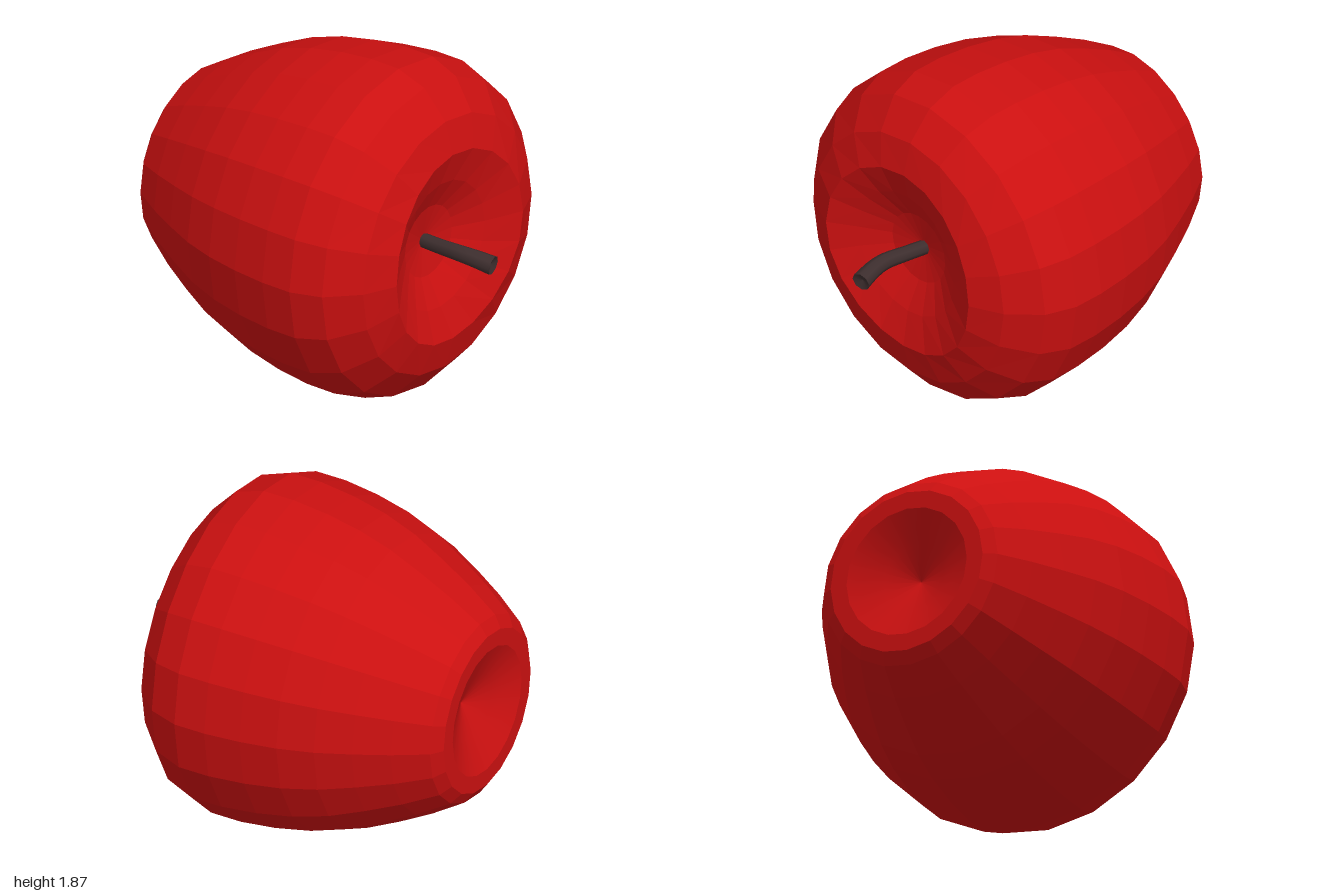
import * as THREE from 'three';

const CENTER_Y = 0.936;
const SIDES = 20;

// Lathe around the z axis from [radius, z] pairs running back to front
function latheZ(profile, sides) {
  const points = profile.map(([r, z]) => new THREE.Vector2(r, z));
  return new THREE.LatheGeometry(points, sides).rotateX(Math.PI / 2);
}

export function createModel() {
  const group = new THREE.Group();
  const skin = new THREE.MeshStandardMaterial({ color: 0xcc1010, flatShading: true });
  const smoothSkin = new THREE.MeshStandardMaterial({ color: 0xcc1010 });
  const bark = new THREE.MeshStandardMaterial({ color: 0x3d2e2e });

  const add = (name, geometry, material) => {
    const mesh = new THREE.Mesh(geometry, material);
    mesh.name = name;
    mesh.position.y = CENTER_Y;
    group.add(mesh);
  };

  // Fruit body with the stem dimple at the front
  const body = latheZ([
    [0.36, -1], [0.455, -1], [0.52, -0.955], [0.63, -0.78], [0.725, -0.6],
    [0.81, -0.42], [0.872, -0.23], [0.912, -0.03], [0.934, 0.17], [0.934, 0.35],
    [0.875, 0.52], [0.72, 0.66], [0.54, 0.71], [0.36, 0.65], [0.2, 0.57], [0, 0.53],
  ], SIDES);

  // The front rim bulges forward at the left and right
  const p = body.attributes.position;
  for (let i = 0; i < p.count; i++) {
    const x = p.getX(i), r = Math.hypot(x, p.getY(i)), z = p.getZ(i);
    if (z > 0.6 && r > 0.3) {
      const lift = Math.max(0, 1 - Math.abs(r - 0.54) / 0.25);
      p.setZ(i, z + 0.045 * lift * (x / r) ** 2);
    }
    // The bottom of the dimple sits slightly off centre
    if (z > 0.5 && r < 0.4) p.setX(i, x - 0.03);
  }
  add('body', body, skin);

  // Shallow conical hollow at the blossom end
  add('blossomHollow', latheZ([[0, -0.84], [0.18, -0.92], [0.36, -1]], SIDES), smoothSkin);

  // Curved stem, flaring towards its tip
  const path = new THREE.CatmullRomCurve3([
    [-0.02, -0.01, 0.5], [-0.04, 0.0, 0.66], [-0.053, 0.01, 0.8],
    [-0.045, 0.005, 0.89], [-0.025, -0.012, 0.995],
  ].map((v) => new THREE.Vector3(...v)));
  const rings = 10, around = 8;
  const stem = new THREE.TubeGeometry(path, rings, 1, around, false);
  const s = stem.attributes.position;
  for (let i = 0; i < s.count; i++) {
    const t = Math.floor(i / (around + 1)) / rings;
    const c = path.getPointAt(t);
    const v = new THREE.Vector3().fromBufferAttribute(s, i);
    v.sub(c).multiplyScalar(0.04 + 0.013 * t * t).add(c);
    s.setXYZ(i, v.x, v.y, v.z);
  }
  add('stem', stem, bark);

  // Slightly sunken cut end of the stem
  const tip = latheZ([[0.053, 0], [0.035, -0.008], [0, -0.02]], around);
  const end = path.getPointAt(1);
  tip.applyQuaternion(new THREE.Quaternion().setFromUnitVectors(
    new THREE.Vector3(0, 0, 1), path.getTangentAt(1)));
  tip.translate(end.x, end.y, end.z);
  add('stemTip', tip, bark);

  return group;
}
